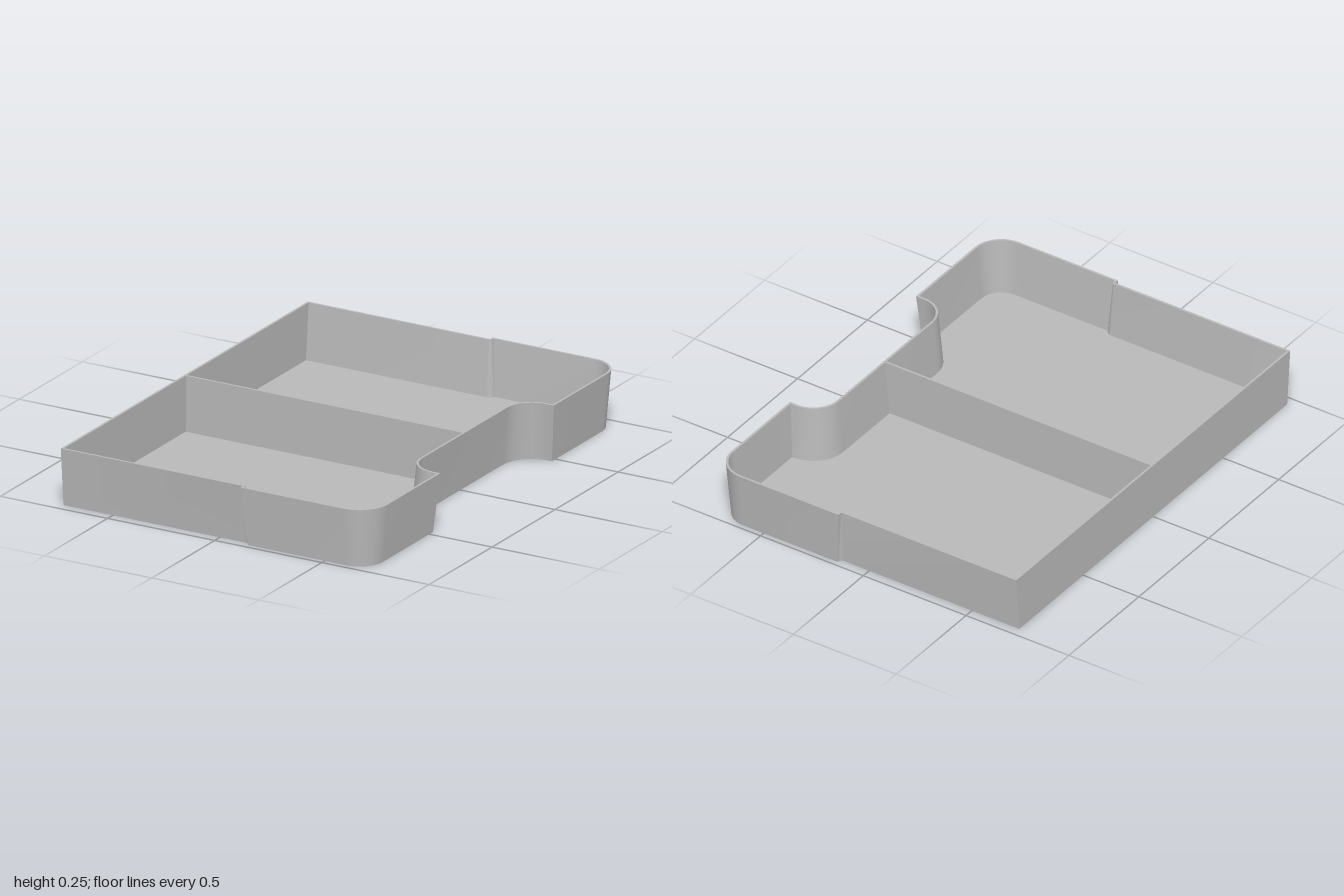
import * as THREE from 'three';
import { toCreasedNormals } from 'three/addons/utils/BufferGeometryUtils.js';

const HEIGHT = 0.25, FLOOR = 0.01, WALL = 0.01, TAPER = 0.022;

// inward offset of the tapered outer face at height y
const taperAt = (y) => TAPER * (1 - y / HEIGHT);

// Tray outline moved inward by d; the straight back edge moves by b.
function outline(d, b) {
  const half = [[-0.73 + b, 0.98 - d]];
  const arc = (cx, cz, r, from, to, n) => {
    for (let i = 0; i <= n; i++) {
      const a = from + (to - from) * i / n;
      half.push([cx + r * Math.cos(a), cz + r * Math.sin(a)]);
    }
  };
  // small step where the side gets wider
  const end = d > 0.02 ? Math.asin((0.02 - d) / d) : 0;
  arc(0.12, 0.98, d, -Math.PI / 2, end, 6);
  half.push([half[half.length - 1][0], 1 - d]);
  // rounded front corner
  arc(0.6, 0.87, 0.13 - d, Math.PI / 2, 0, 16);
  // front notch with a rounded inner corner
  half.push([0.73 - d, 0.45 + d]);
  arc(0.695, 0.335, 0.115 + d, Math.PI / 2, Math.PI, 16);
  return half.concat(half.map(([x, z]) => [x, -z]).reverse());
}

function makeGeometry(positions) {
  const geometry = new THREE.BufferGeometry();
  geometry.setAttribute('position', new THREE.Float32BufferAttribute(positions, 3));
  return toCreasedNormals(geometry, 0.5);
}

// Joins successive rings, each { y, points }, with quads
function loft(rings) {
  const out = [];
  const count = rings[0].points.length;
  for (let k = 0; k < rings.length - 1; k++) {
    const corner = (ring, i) => {
      const [x, z] = ring.points[i % count];
      return [x, ring.y, z];
    };
    for (let i = 0; i < count; i++) {
      const p = corner(rings[k], i), q = corner(rings[k], i + 1);
      const r = corner(rings[k + 1], i + 1), s = corner(rings[k + 1], i);
      out.push(...p, ...q, ...r, ...p, ...r, ...s);
    }
  }
  return makeGeometry(out);
}

// Fills a ring with a flat face looking up or down
function cap({ y, points }, up) {
  const flat = points.map(([x, z]) => new THREE.Vector2(x, -z));
  const out = [];
  for (const face of THREE.ShapeUtils.triangulateShape(flat, [])) {
    for (const i of up ? face : [...face].reverse()) out.push(points[i][0], y, points[i][1]);
  }
  return makeGeometry(out);
}

export function createModel() {
  const group = new THREE.Group();
  const grey = new THREE.MeshStandardMaterial({ color: 0xb8b8b8 });
  grey.name = 'grey plastic';
  const add = (name, geometry) => {
    const mesh = new THREE.Mesh(geometry, grey);
    mesh.name = name;
    group.add(mesh);
    return mesh;
  };

  const base = { y: 0, points: outline(TAPER, 0) };
  const rimOuter = { y: HEIGHT, points: outline(0, 0) };
  const rimInner = { y: HEIGHT, points: outline(WALL, WALL) };
  const inside = { y: FLOOR, points: outline(taperAt(FLOOR) + WALL, WALL) };

  add('walls', loft([base, rimOuter, rimInner, inside]));
  add('floor', cap(inside, true));
  add('underside', cap(base, false));

  // divider along the middle, its front end following the slanted wall
  const side = new THREE.Shape([
    new THREE.Vector2(-0.725, FLOOR / 2),
    new THREE.Vector2(0.575 - TAPER, FLOOR / 2),
    new THREE.Vector2(0.575, HEIGHT),
    new THREE.Vector2(-0.725, HEIGHT),
  ]);
  const divider = add('divider', new THREE.ExtrudeGeometry(side, { depth: WALL, bevelEnabled: false }));
  divider.position.z = -WALL / 2;

  return group;
}
